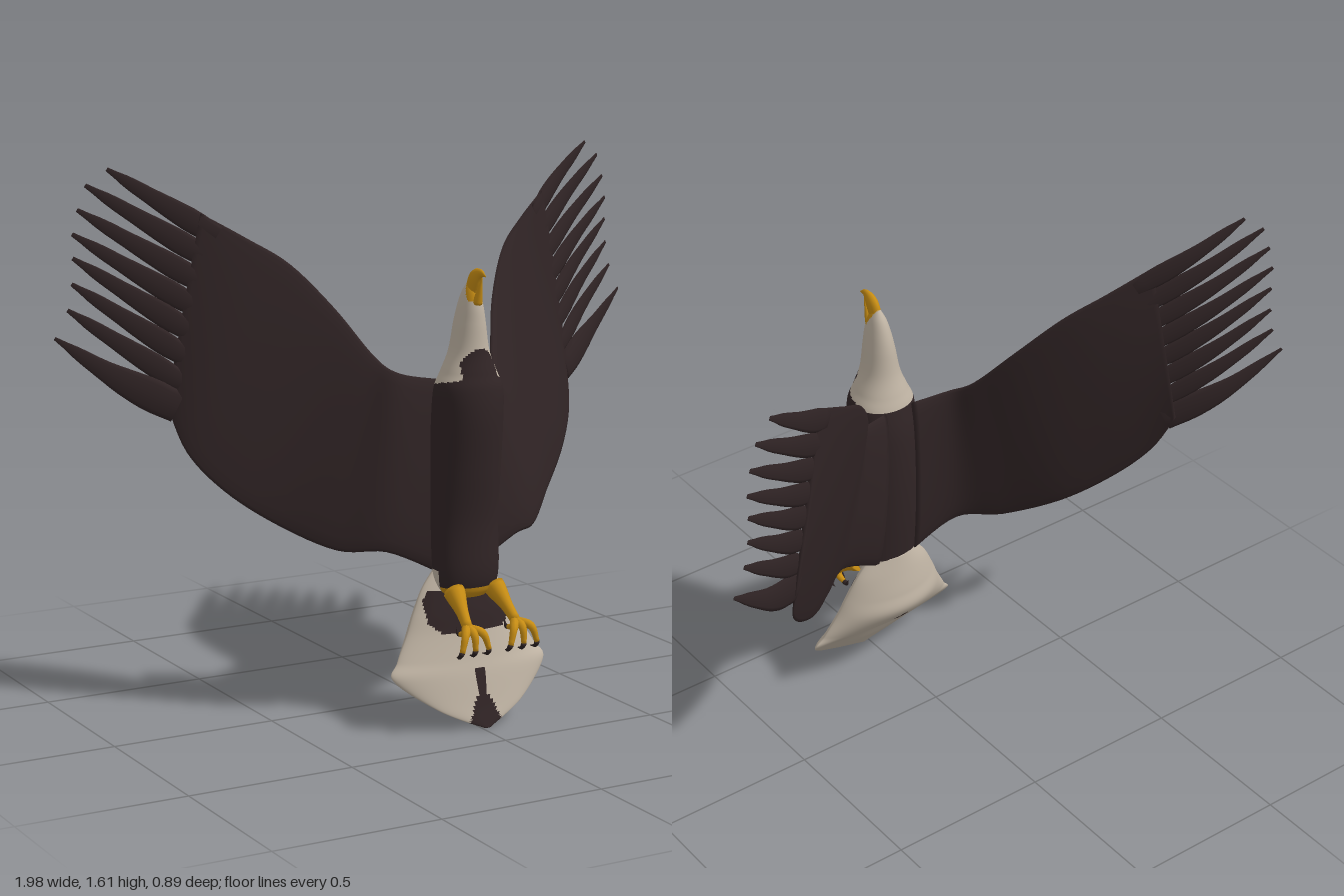
import * as THREE from 'three';

const V = (x, y, z) => new THREE.Vector3(x, y, z);
const mat = (name, color) => Object.assign(new THREE.MeshStandardMaterial({ color }), { name });

// Smooth interpolation through rows of numbers, t from 0 to 1
function blend(rows, t) {
  const f = t * (rows.length - 1), i = Math.min(Math.floor(f), rows.length - 2), u = f - i;
  const r = k => rows[Math.max(0, Math.min(rows.length - 1, k))];
  const [a, b, c, d] = [r(i - 1), r(i), r(i + 1), r(i + 2)];
  return b.map((_, k) => b[k] + 0.5 * u * (c[k] - a[k] + u * (2 * a[k] - 5 * b[k] + 4 * c[k] - d[k]
    + u * (3 * (b[k] - c[k]) + d[k] - a[k]))));
}

// Closed solid through rings of points, always facing outward
function loft(rings) {
  const n = rings[0].length, pts = rings.flat(), idx = [];
  for (let i = 0; i < rings.length - 1; i++)
    for (let k = 0; k < n; k++) {
      const a = i * n + k, b = i * n + (k + 1) % n;
      idx.push(a, b, a + n, b, b + n, a + n);
    }
  [0, rings.length - 1].forEach(e => {
    const mid = V(0, 0, 0);
    rings[e].forEach(p => mid.addScaledVector(p, 1 / n));
    const c = pts.push(mid) - 1;
    for (let k = 0; k < n; k++) {
      const a = e * n + k, b = e * n + (k + 1) % n;
      e ? idx.push(a, b, c) : idx.push(b, a, c);
    }
  });
  let volume = 0;
  for (let i = 0; i < idx.length; i += 3)
    volume += pts[idx[i]].dot(pts[idx[i + 1]].clone().cross(pts[idx[i + 2]]));
  if (volume < 0) idx.reverse();
  const g = new THREE.BufferGeometry().setFromPoints(pts);
  g.setIndex(idx);
  g.computeVertexNormals();
  return g;
}

// Upright solid from rows [y, halfWidth, zFront, zBack, zSide]
function trunk(rows, steps, n, sharp) {
  const rings = [];
  for (let i = 0; i <= steps; i++) {
    const [y, w, zf, zb, zs] = blend(rows, i / steps);
    rings.push(Array.from({ length: n }, (_, k) => {
      const a = k / n * Math.PI * 2, s = Math.sin(a), d = Math.abs(s) ** sharp;
      return V(w * Math.cos(a), y, s > 0 ? zs + (zf - zs) * d : zs - (zs - zb) * d);
    }));
  }
  return loft(rings);
}

// Tapered, optionally flattened, tube along a curve
function tube(pts, radii, axis = V(1, 0, 0), flat = 1, n = 8, steps = 10) {
  const curve = new THREE.CatmullRomCurve3(pts), rings = [];
  for (let i = 0; i <= steps; i++) {
    const c = curve.getPoint(i / steps), t = curve.getTangent(i / steps);
    const a = axis.clone().cross(t).normalize(), b = t.clone().cross(a);
    const [r] = blend(radii.map(q => [q]), i / steps);
    rings.push(Array.from({ length: n }, (_, k) => {
      const q = k / n * Math.PI * 2;
      return c.clone().addScaledVector(a, r * Math.cos(q)).addScaledVector(b, r * flat * Math.sin(q));
    }));
  }
  return loft(rings);
}

// Sort quads (pairs of triangles) into material groups by their centre
function paint(g, rule, count) {
  const idx = g.index.array, p = g.attributes.position, sets = Array.from({ length: count }, () => []);
  for (let i = 0; i < idx.length; i += 6) {
    const c = V(0, 0, 0), f = Array.from(idx.slice(i, i + 6));
    f.forEach(j => c.add(V(p.getX(j), p.getY(j), p.getZ(j))));
    c.divideScalar(6);
    sets[rule(c.x, c.y, c.z)].push(...f);
  }
  g.setIndex(sets.flat());
  let start = 0;
  sets.forEach((s, m) => { g.addGroup(start, s.length, m); start += s.length; });
  return g;
}

// Wing sections from root to hand: leading edge xyz, trailing edge xyz, half thickness
const WING = [
  [0.05, 1.005, 0.165, 0.07, 0.44, 0.19, 0.028],
  [0.155, 1.025, 0.125, 0.22, 0.51, 0.165, 0.024],
  [0.20, 1.07, 0.06, 0.34, 0.513, 0.085, 0.02],
  [0.27, 1.20, -0.045, 0.47, 0.58, -0.04, 0.018],
  [0.365, 1.325, -0.14, 0.59, 0.675, -0.14, 0.014],
  [0.47, 1.40, -0.207, 0.67, 0.785, -0.22, 0.011],
  [0.59, 1.475, -0.268, 0.70, 0.92, -0.285, 0.007],
];
const TIPS = [[0.83, 1.605, -0.385], [0.89, 1.56, -0.405], [0.915, 1.49, -0.41], [0.93, 1.42, -0.415],
  [0.93, 1.35, -0.415], [0.935, 1.275, -0.415], [0.95, 1.20, -0.415], [0.99, 1.12, -0.42]];

export function createModel() {
  const root = new THREE.Group();
  root.name = 'bird';
  const brown = mat('darkBrownPlumage', 0x302425), white = mat('paleFeathers', 0xbfb3a3);
  const yellow = mat('yellowHorn', 0xc78d14), claw = mat('darkClaw', 0x2c2222);
  const add = (parent, name, geo, m) => {
    const mesh = new THREE.Mesh(geo, m);
    mesh.name = name;
    parent.add(mesh);
  };
  const group = name => {
    const g = new THREE.Group();
    g.name = name;
    root.add(g);
    return g;
  };

  // Body, neck and head in one smooth solid
  const body = [[0.375, 0.06, 0.29, 0.20], [0.40, 0.09, 0.31, 0.175], [0.46, 0.1, 0.322, 0.165],
    [0.6, 0.1, 0.322, 0.15], [0.75, 0.1, 0.34, 0.142], [0.9, 0.1, 0.355, 0.145], [0.99, 0.098, 0.352, 0.16],
    [1.04, 0.078, 0.338, 0.175], [1.1, 0.055, 0.322, 0.193], [1.18, 0.041, 0.317, 0.205],
    [1.23, 0.032, 0.312, 0.218], [1.27, 0.022, 0.3, 0.235], [1.3, 0.008, 0.28, 0.257]]
    .map(r => [...r, (r[2] + r[3]) / 2]);
  add(root, 'bodyAndHead', paint(trunk(body, 140, 56, 0.85), (x, y, z) => {
    if (y < 0.41 && z > 0.25 || y > Math.max(1.245, 1.305 - (z - 0.255) * 1.7)) return 2;
    if (y < 0.455 && z < 0.25) return 1;
    const bib = z > 0.27 && Math.abs(x) < 0.058 ? 1.045 + 0.065 * Math.sqrt(1 - (x / 0.058) ** 2) : 0;
    return y > Math.max(bib, 1.0 + Math.max(0, z - 0.2) * 0.2) ? 1 : 0;
  }, 3), [brown, white, yellow]);

  // Beak
  const beak = group('beak');
  add(beak, 'upperBeak', tube([V(0, 1.25, 0.28), V(0, 1.285, 0.28), V(0, 1.314, 0.296), V(0, 1.328, 0.322),
    V(0, 1.322, 0.347)], [0.018, 0.026, 0.025, 0.013, 0.002], V(1, 0, 0), 0.6, 12, 16), yellow);
  add(beak, 'lowerBeak', tube([V(0, 1.24, 0.302), V(0, 1.275, 0.315), V(0, 1.315, 0.328)],
    [0.015, 0.009, 0.002]), yellow);

  // Fan tail with a thick lens section
  const tail = [[0.46, 0.08, 0.25, 0.163, 0.21], [0.40, 0.13, 0.265, 0.152, 0.215], [0.33, 0.167, 0.285, 0.14, 0.225],
    [0.27, 0.195, 0.297, 0.136, 0.235], [0.20, 0.235, 0.315, 0.19, 0.25], [0.15, 0.257, 0.33, 0.252, 0.268],
    [0.06, 0.14, 0.352, 0.318, 0.333], [0, 0.012, 0.372, 0.362, 0.367]];
  add(root, 'tail', paint(trunk(tail, 98, 96, 1.3), (x, y, z) => {
    const ax = Math.abs(x);
    const patch = z > 0.232 && y > 0.275 && y < 0.395 && ax < 0.1 + 0.04 * Math.min(1, (y - 0.275) / 0.03);
    const stripe = z > 0.369 - 0.6 * y && y < 0.17 && ax < 0.012 + 0.05 * Math.max(0, 1 - y / 0.11);
    const spot = z < 0.22 && Math.hypot((x + 0.012) / 0.022, (y - 0.215) / 0.022) < 1;
    return patch || stripe || spot ? 1 : 0;
  }, 2), [white, brown]);

  for (const s of [1, -1]) {
    const side = s > 0 ? 'left' : 'right';

    // Wing surface
    const wing = group(side + 'Wing');
    const section = t => {
      const r = blend(WING, t);
      return { L: V(s * r[0], r[1], r[2]), T: V(s * r[3], r[4], r[5]), h: r[6] };
    };
    const normalAt = t => {
      const a = section(Math.max(0, t - 0.03)), b = section(Math.min(1, t + 0.03));
      const span = b.L.add(b.T).sub(a.L).sub(a.T);
      const { L, T } = section(t);
      return T.sub(L).cross(span).normalize();
    };
    const rings = [];
    for (let i = 0; i <= 36; i++) {
      const { L, T, h } = section(i / 36), N = normalAt(i / 36);
      rings.push(Array.from({ length: 24 }, (_, k) => {
        const a = k / 24 * Math.PI * 2;
        return L.clone().lerp(T, 0.5 - 0.5 * Math.cos(a)).addScaledVector(N, h * Math.sin(a));
      }));
    }
    add(wing, 'wingSurface', loft(rings), brown);

    // Fingered flight feathers
    const hand = section(0.92), N = normalAt(0.95);
    TIPS.forEach(([x, y, z], i) => {
      const last = i === 7;
      const base = hand.L.clone().lerp(hand.T, 0.06 + 0.122 * i), tip = V(s * x, y, z);
      const mid = base.clone().lerp(tip, 0.5).add(V(0, last ? -0.012 : 0, -0.012));
      add(wing, 'flightFeather', tube([base, mid, tip],
        (last ? [0.046, 0.05, 0.042, 0.029, 0.019, 0.005] : [0.028, 0.035, 0.031, 0.024, 0.018, 0.006]),
        N, 0.2, 8, 12), brown);
    });

    // Leg, toes and claws
    const leg = group(side + 'Leg');
    const X = s * 0.082;
    add(leg, 'shank', tube([V(s * 0.068, 0.4, 0.292), V(s * 0.074, 0.365, 0.335), V(X, 0.315, 0.39)],
      [0.036, 0.029, 0.02, 0.017], V(1, 0, 0), 0.85, 12), yellow);
    for (const d of [-0.036, 0, 0.036]) {
      const end = V(X + d * 1.25, 0.258, 0.434);
      add(leg, 'frontToe', tube([V(X, 0.315, 0.385), V(X + d * 0.8, 0.305, 0.425), end], [0.015, 0.012, 0.008]), yellow);
      add(leg, 'frontClaw', tube([end, V(X + d * 1.3, 0.243, 0.422), V(X + d * 1.2, 0.238, 0.4)],
        [0.008, 0.006, 0.001]), claw);
    }
    const heel = V(X, 0.288, 0.35);
    add(leg, 'backToe', tube([V(X, 0.315, 0.39), V(X, 0.295, 0.375), heel], [0.015, 0.011, 0.008]), yellow);
    add(leg, 'backClaw', tube([heel, V(X, 0.287, 0.337), V(X, 0.305, 0.328)], [0.008, 0.006, 0.001]), claw);
  }

  // Slight turn of the whole bird
  root.rotation.y = 0.022;
  root.position.x = 0.01;
  return root;
}
